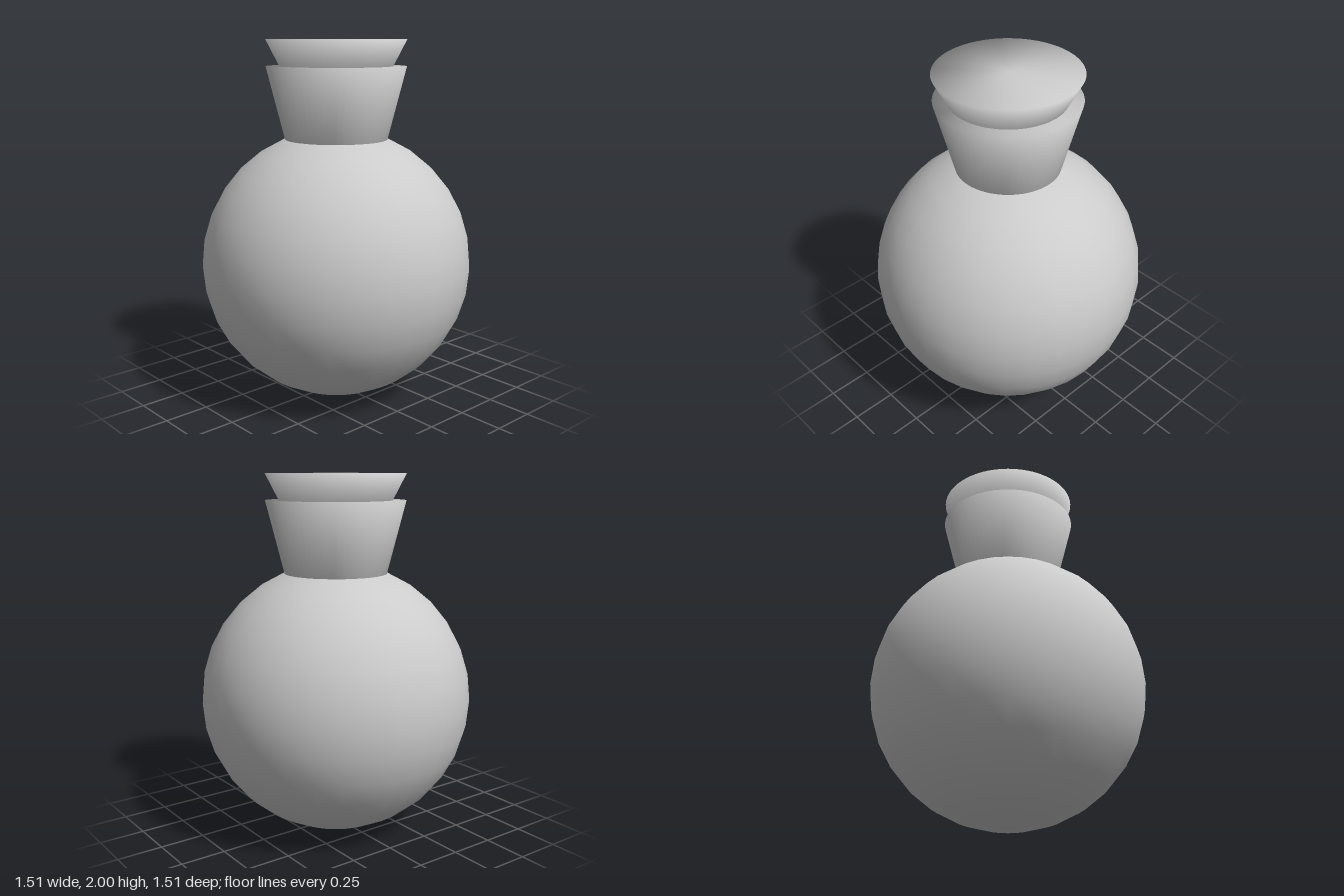
import * as THREE from 'three';
import { mergeVertices } from 'three/addons/utils/BufferGeometryUtils.js';

const material = new THREE.MeshStandardMaterial({ color: 0xcccccc });

// Capped tapered cylinder whose shading runs smoothly over its rims
function taperedPlug(name, topRadius, bottomRadius, topY, bottomY) {
  let geometry = new THREE.CylinderGeometry(topRadius, bottomRadius, topY - bottomY, 64);
  geometry.deleteAttribute('normal');
  geometry.deleteAttribute('uv');
  geometry = mergeVertices(geometry);
  geometry.computeVertexNormals();
  const mesh = new THREE.Mesh(geometry, material);
  mesh.name = name;
  mesh.position.y = (topY + bottomY) / 2;
  return mesh;
}

export function createModel() {
  const model = new THREE.Group();
  model.name = 'roundFlask';

  // Round body
  const radius = 0.757;
  const body = new THREE.Mesh(new THREE.SphereGeometry(radius, 32, 16), material);
  body.name = 'body';
  body.position.y = radius;
  model.add(body);

  // Flared neck, sunk into the body
  model.add(taperedPlug('neck', 0.385, 0.26, 1.855, 1.36));

  // Stopper, sunk into the neck
  model.add(taperedPlug('stopper', 0.385, 0.26, 2, 1.755));

  return model;
}
